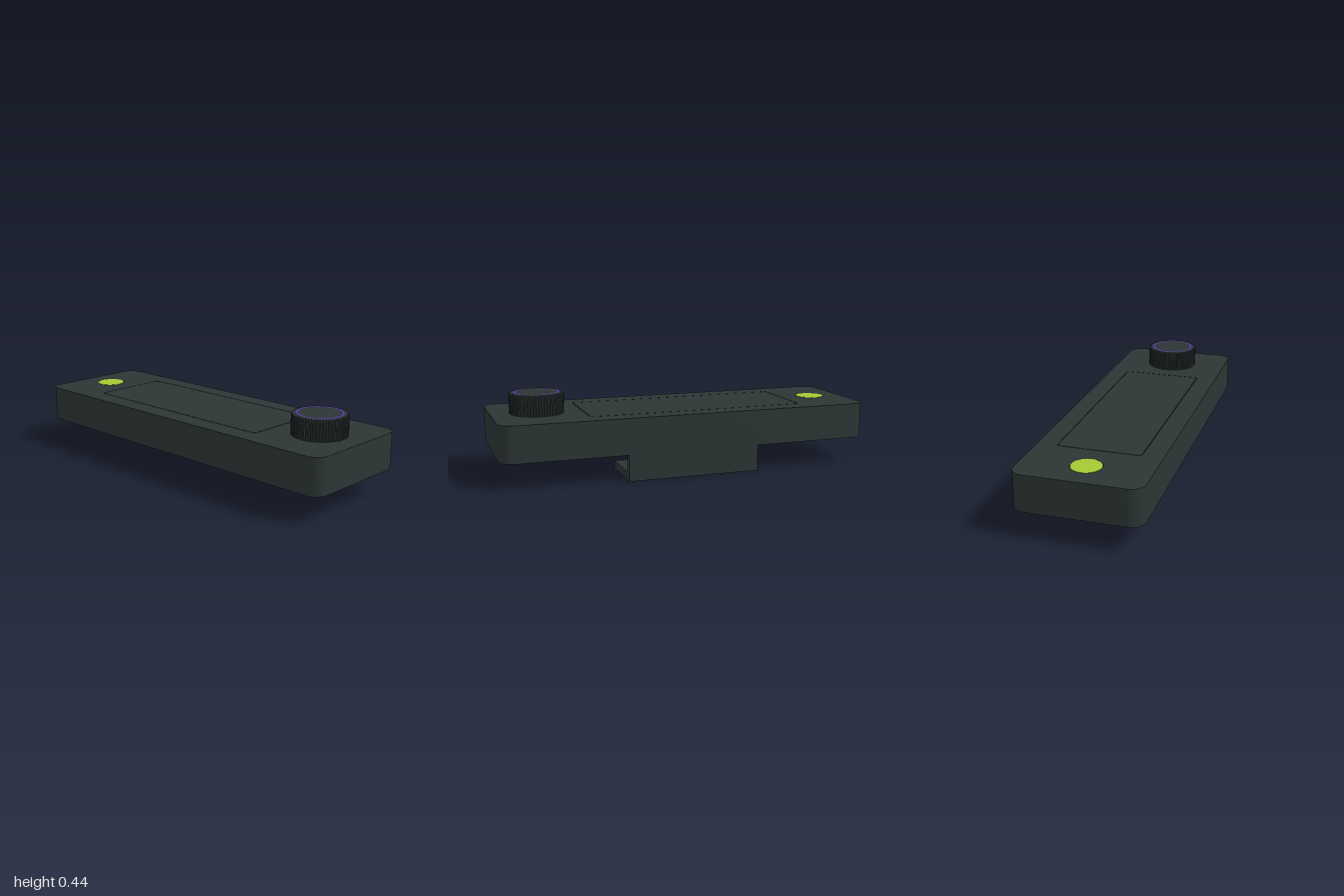
import * as THREE from 'three';
import { toCreasedNormals } from 'three/addons/utils/BufferGeometryUtils.js';

const material = (name, color) => {
  const m = new THREE.MeshStandardMaterial({ color });
  m.name = name;
  return m;
};

// Rounded rectangle outline, as a Shape or as a hole Path
function roundedRect(cx, cy, w, h, r, Type = THREE.Shape) {
  const s = new Type(), x = w / 2 - r, y = h / 2 - r;
  s.absarc(cx + x, cy + y, r, 0, Math.PI / 2);
  s.absarc(cx - x, cy + y, r, Math.PI / 2, Math.PI);
  s.absarc(cx - x, cy - y, r, Math.PI, Math.PI * 1.5);
  s.absarc(cx + x, cy - y, r, Math.PI * 1.5, Math.PI * 2);
  s.closePath();
  return s;
}

function disc(cx, cy, r, Type = THREE.Shape) {
  const s = new Type();
  s.absarc(cx, cy, r, 0, Math.PI * 2);
  return s;
}

// Horizontal slab between two heights (shape y points to -z)
function slab(shape, y0, y1) {
  const g = new THREE.ExtrudeGeometry(shape, { depth: y1 - y0, bevelEnabled: false, curveSegments: 12 });
  g.rotateX(-Math.PI / 2).translate(0, y0, 0);
  return toCreasedNormals(g, 0.6);
}

export function createModel() {
  const group = new THREE.Group();
  const casing = material('charcoal casing', 0x2c3535);
  const lime = material('lime button', 0xa4c935);
  const purple = material('purple ring', 0x6a2be0);
  const add = (name, geometry, mat) => {
    const mesh = new THREE.Mesh(geometry, mat);
    mesh.name = name;
    group.add(mesh);
    return mesh;
  };

  const bottom = 0.138, floor = 0.318, top = 0.328;
  const buttonX = -0.825, knobX = 0.76;

  // Casing, with a top layer recessed for the screen and the button
  add('casing', slab(roundedRect(0, 0, 2, 0.642, 0.07), bottom, floor), casing);
  const cover = roundedRect(0, 0, 2, 0.642, 0.07);
  cover.holes.push(
    roundedRect(-0.06, 0.003, 1.174, 0.434, 0.022, THREE.Path),
    disc(buttonX, 0, 0.079, THREE.Path));
  add('topCover', slab(cover, floor, top), casing);
  add('screen', slab(roundedRect(-0.06, 0.003, 1.166, 0.426, 0.018), floor, top), casing);
  add('button', slab(disc(buttonX, 0, 0.077), floor, top + 0.001), lime);

  // Knob: lathe with vertical grooves pressed into its side
  const teeth = 60, steps = teeth * 4;
  const profile = [[0.142, 0], [0.142, 0.098], [0.139, 0.105], [0.132, 0.108], [0, 0.108]]
    .map(([r, y]) => new THREE.Vector2(r, y));
  const knob = new THREE.LatheGeometry(profile, steps);
  const p = knob.attributes.position;
  for (let i = 0; i < p.count; i++) {
    const column = Math.floor(i / profile.length), row = i % profile.length;
    if (row < 3 && column % 4 === 0) {
      const k = 0.136 / 0.142;
      p.setX(i, p.getX(i) * k);
      p.setZ(i, p.getZ(i) * k);
    }
  }
  add('knob', toCreasedNormals(knob, 0.3), casing).position.set(knobX, top, 0);

  // Coloured ring on the knob top
  const ring = new THREE.RingGeometry(0.110, 0.117, 64).rotateX(-Math.PI / 2);
  add('knobRing', ring, purple).position.set(knobX, top + 0.109, 0);

  // L-shaped clip under the back edge
  const clip = new THREE.Shape([
    [-0.321, 0], [-0.036, 0], [-0.036, 0.044], [-0.286, 0.044], [-0.286, bottom], [-0.321, bottom],
  ].map(([z, y]) => new THREE.Vector2(z, y)));
  const clipGeometry = new THREE.ExtrudeGeometry(clip, { depth: 0.712, bevelEnabled: false });
  clipGeometry.rotateY(-Math.PI / 2).translate(0.355, 0, 0);
  add('clip', clipGeometry, casing);

  return group;
}
